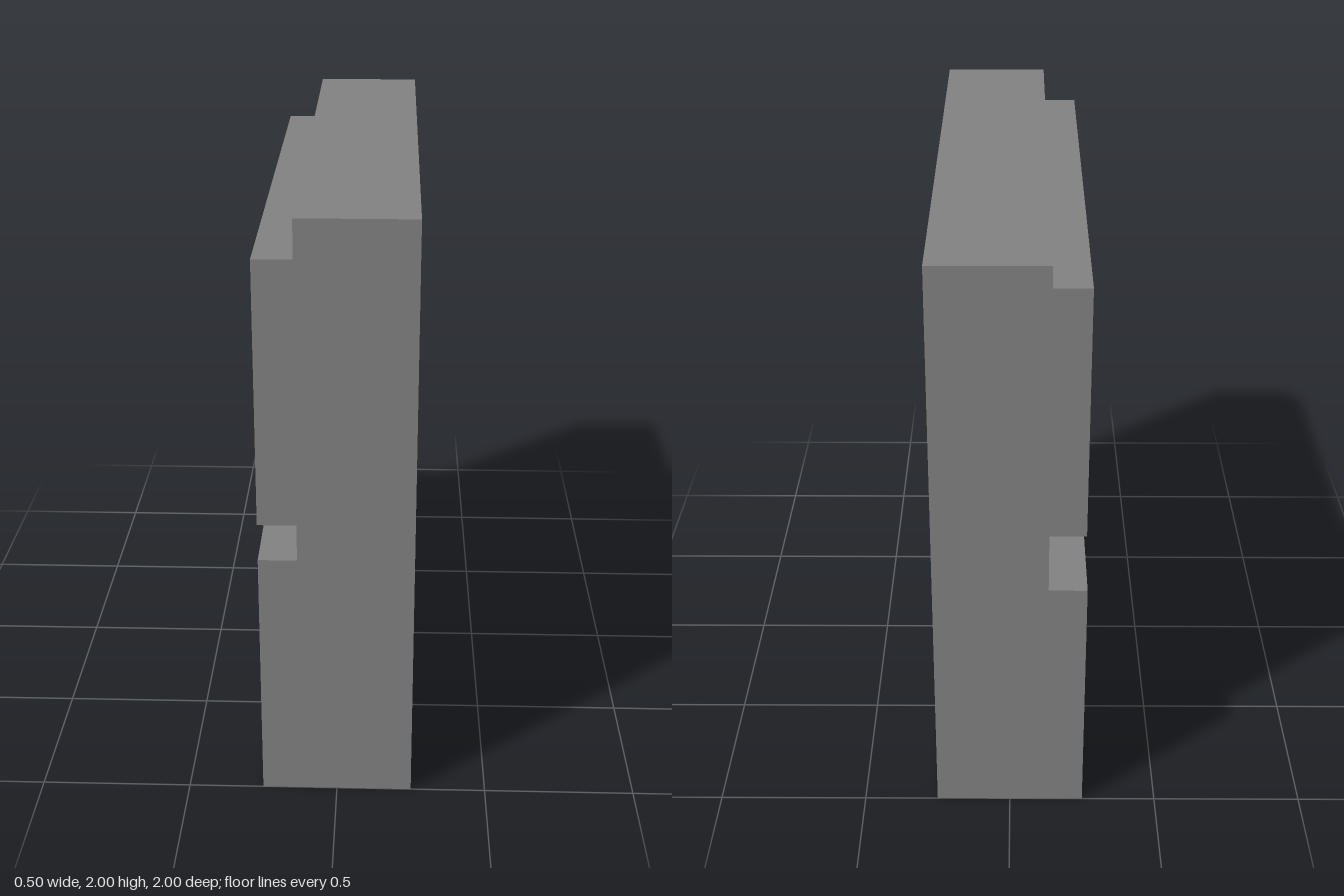
import * as THREE from 'three';

const stone = new THREE.MeshStandardMaterial({ color: 0x808080 });
stone.name = 'grey stone';

// Box given by its minimum and maximum corners
function block(name, min, max) {
  const size = max.map((v, i) => v - min[i]);
  const mesh = new THREE.Mesh(new THREE.BoxGeometry(...size), stone);
  mesh.position.set(...max.map((v, i) => (v + min[i]) / 2));
  mesh.name = name;
  return mesh;
}

export function createModel() {
  const group = new THREE.Group();
  group.name = 'brickWall';

  const face = -0.25, joint = -0.125; // brick faces and recessed mortar

  // Plain backing slab
  group.add(block('wallSlab', [joint, 0, -1], [0.25, 2, 1]));

  // Raised bricks: name, y range, z range
  const bricks = [
    ['lowerBackBrick', 0, 0.875, -1, -0.125],
    ['lowerFrontBrick', 0, 0.875, 0, 1],
    ['upperBrick', 1, 1.875, -0.875, 1],
  ];
  for (const [name, y0, y1, z0, z1] of bricks) {
    group.add(block(name, [face, y0, z0], [joint, y1, z1]));
  }
  return group;
}
